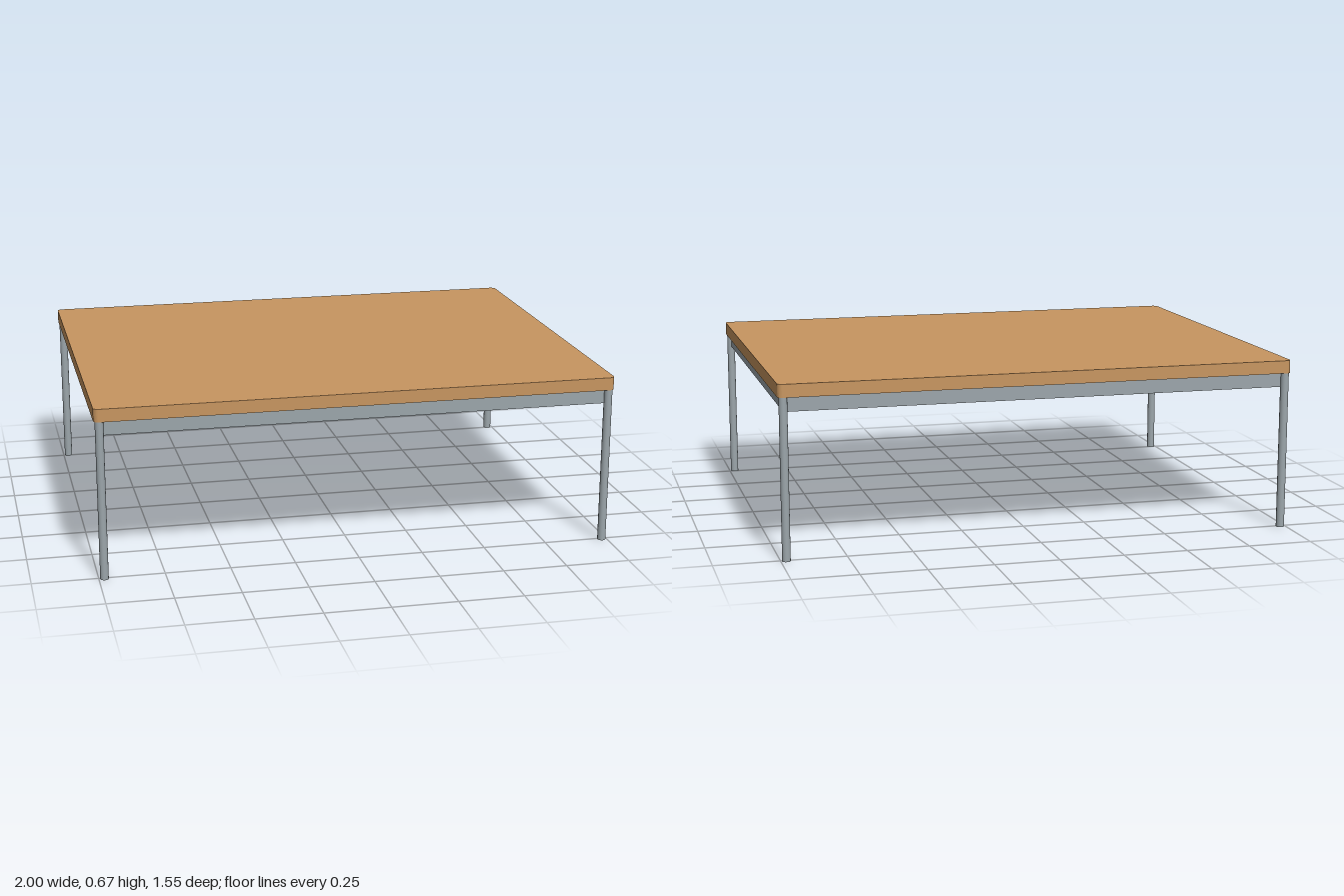
import * as THREE from 'three';

const TOP_Y = 0.665, TOP_BOTTOM = 0.615, FRAME_BOTTOM = 0.56;
const LEG_X = 0.979, LEG_Z = 0.758, LEG_R = 0.016;

// Rectangle outline with small rounded corners
function roundedRect(w, d, r) {
  const x = w / 2, y = d / 2;
  const s = new THREE.Shape();
  s.absarc(x - r, y - r, r, 0, Math.PI / 2);
  s.absarc(-x + r, y - r, r, Math.PI / 2, Math.PI);
  s.absarc(-x + r, -y + r, r, Math.PI, Math.PI * 1.5);
  s.absarc(x - r, -y + r, r, Math.PI * 1.5, Math.PI * 2);
  s.closePath();
  return s;
}

export function createModel() {
  const model = new THREE.Group();
  model.name = 'table';
  const wood = new THREE.MeshStandardMaterial({ color: 0xc89660 });
  wood.name = 'wood';
  const steel = new THREE.MeshStandardMaterial({ color: 0x9ca6ab });
  steel.name = 'steel';

  const add = (name, geometry, material, x, y, z) => {
    const mesh = new THREE.Mesh(geometry, material);
    mesh.name = name;
    mesh.position.set(x, y, z);
    model.add(mesh);
  };

  // Wooden slab with softened corners
  const slab = new THREE.ExtrudeGeometry(roundedRect(2, 1.55, 0.02), {
    depth: TOP_Y - TOP_BOTTOM, bevelEnabled: false, curveSegments: 5,
  });
  slab.rotateX(-Math.PI / 2);
  add('tableTop', slab, wood, 0, TOP_BOTTOM, 0);

  // Closed frame under the slab, its corners on the leg centres
  const frameHeight = TOP_BOTTOM - FRAME_BOTTOM;
  add('frame', new THREE.BoxGeometry(LEG_X * 2, frameHeight, LEG_Z * 2), steel,
    0, FRAME_BOTTOM + frameHeight / 2, 0);

  // Four slim round legs
  const leg = new THREE.CylinderGeometry(LEG_R, LEG_R, TOP_BOTTOM, 16);
  for (const [side, sx] of [['left', 1], ['right', -1]]) {
    for (const [end, sz] of [['Front', 1], ['Back', -1]]) {
      add(`${side}${end}Leg`, leg, steel, sx * LEG_X, TOP_BOTTOM / 2, sz * LEG_Z);
    }
  }
  return model;
}
